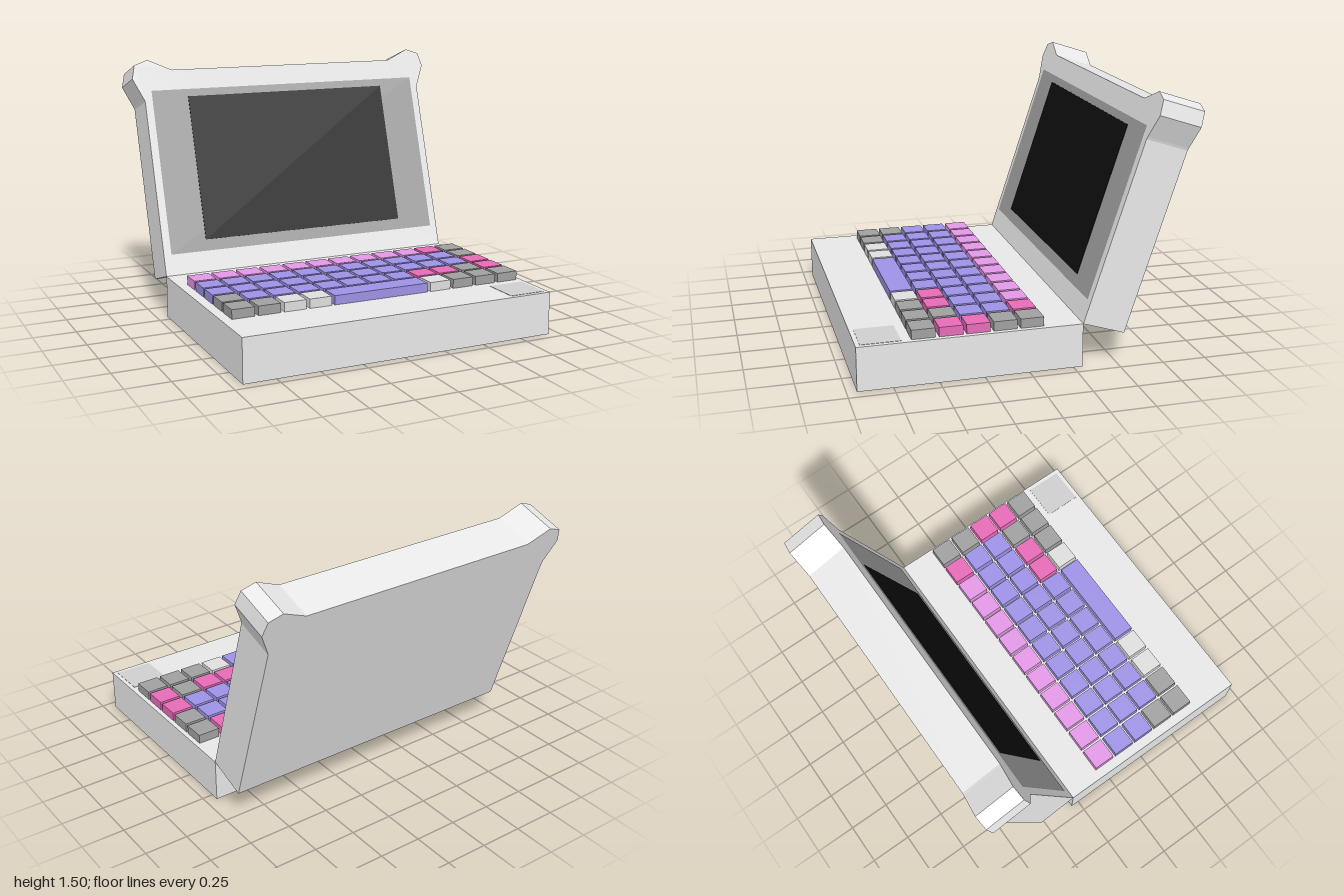
import * as THREE from 'three';

const mat = (name, color) => {
  const m = new THREE.MeshStandardMaterial({ color });
  m.name = name;
  return m;
};

export function createModel() {
  const casing = mat('casing grey', 0xe7e7e7);
  const trim = mat('mid grey', 0xa0a0a0);
  const pad = mat('pad grey', 0xcecece);
  const pale = mat('pale key grey', 0xdedede);
  const glass = mat('screen black', 0x0e0e0e);
  const violet = mat('violet', 0xe397e6);
  const indigo = mat('indigo', 0x9d92e6);
  const pink = mat('pink', 0xe66bb7);

  const model = new THREE.Group();
  model.name = 'laptop';

  const add = (parent, name, geometry, material, x, y, z) => {
    const mesh = new THREE.Mesh(geometry, material);
    mesh.name = name;
    mesh.position.set(x, y, z);
    parent.add(mesh);
    return mesh;
  };

  // Base slab, with a flat pad in the front corner
  add(model, 'base', new THREE.BoxGeometry(1.874, 0.25, 1.245), casing, 0, 0.125, 0.3225);
  add(model, 'cornerPad', new THREE.BoxGeometry(0.22, 0.003, 0.22), pad, 0.802, 0.2505, 0.81);

  // Keyboard: one letter per column, repeated letters of S form the space bar
  const keyMaterials = { v: violet, i: indigo, p: pink, g: trim, w: pale, S: indigo };
  const rows = ['vvvvvvvvvvpg', 'iiiiiiiiiiig', 'iiiiiiiiiiip', 'giiiiiiippgp', 'ggwwSSSSwggg'];
  const keyboard = new THREE.Group();
  keyboard.name = 'keyboard';
  model.add(keyboard);
  const pitch = 0.1507, keySize = 0.131;
  rows.forEach((row, r) => {
    for (let c = 0; c < row.length; c++) {
      const span = row[c] === 'S' ? 4 : 1;
      const width = keySize + pitch * (span - 1);
      add(keyboard, span > 1 ? 'spaceBar' : 'key', new THREE.BoxGeometry(width, 0.053, keySize),
        keyMaterials[row[c]], -0.879 + c * pitch + width / 2, 0.2765, -0.085 + r * 0.15 + keySize / 2);
      c += span - 1;
    }
  });

  // Lid, hinged at the back edge of the base and leaning backwards
  const lid = new THREE.Group();
  lid.name = 'lid';
  lid.position.set(0, 0.25, -0.3);
  lid.rotation.x = -THREE.MathUtils.degToRad(18);
  model.add(lid);

  // Lid outline: right half from the bottom up round the ear, then mirrored
  const half = [
    [0.937, 0], [0.937, 1.06], [0.942, 1.075], [1, 1.204],
    [0.978, 1.288], [0.895, 1.317], [0.76, 1.256], [0.745, 1.25],
  ];
  const outline = [...half, ...half.map(([x, y]) => [-x, y]).reverse()];
  const shell = new THREE.ExtrudeGeometry(
    new THREE.Shape(outline.map(([x, y]) => new THREE.Vector2(x, y))),
    { depth: 0.25, bevelEnabled: false });
  add(lid, 'lidShell', shell, casing, 0, 0, -0.25);

  // Screen surround and display
  add(lid, 'bezel', new THREE.PlaneGeometry(1.782, 1), trim, 0, 0.626, 0.002);
  add(lid, 'display', new THREE.BoxGeometry(1.325, 0.885, 0.005), glass, -0.002, 0.637, 0.0025);

  return model;
}
